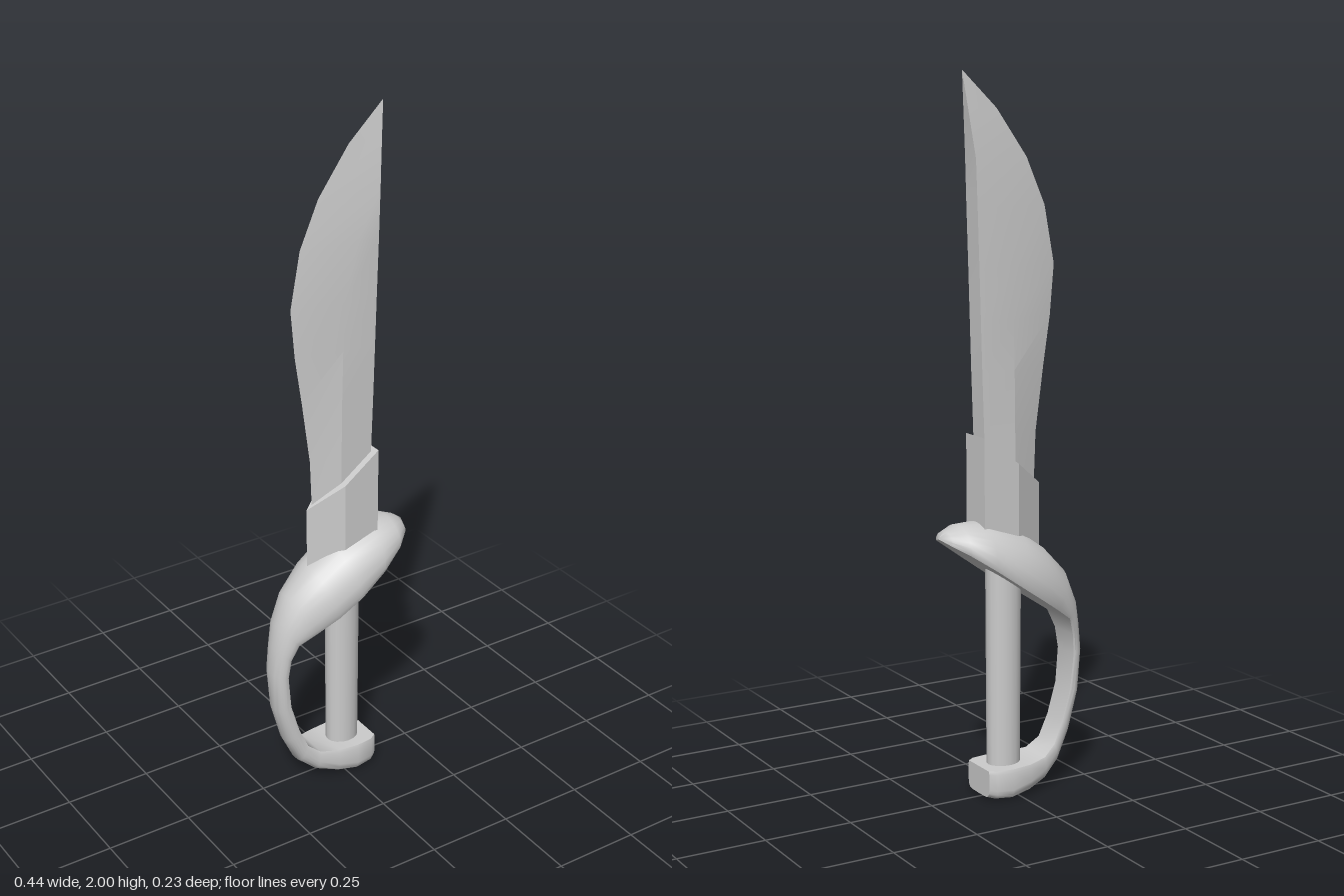
import * as THREE from 'three';
import { toCreasedNormals } from 'three/addons/utils/BufferGeometryUtils.js';

const material = new THREE.MeshStandardMaterial({ color: 0xcccccc });

// Skin a row of matching rings and cap both ends; rings run counterclockwise about the path
function loft(rings, crease) {
  const pos = [];
  const tri = (a, b, c) => {
    const t = new THREE.Triangle(a, b, c);
    if (t.getArea() > 1e-8) pos.push(...a.toArray(), ...b.toArray(), ...c.toArray());
  };
  const n = rings[0].length;
  for (let i = 0; i < rings.length - 1; i++) {
    const a = rings[i], b = rings[i + 1];
    for (let j = 0; j < n; j++) {
      const k = (j + 1) % n;
      tri(a[j], a[k], b[k]);
      tri(a[j], b[k], b[j]);
    }
  }
  const first = rings[0], last = rings[rings.length - 1];
  for (let j = 1; j < n - 1; j++) {
    tri(first[0], first[j + 1], first[j]);
    tri(last[0], last[j], last[j + 1]);
  }
  const geometry = new THREE.BufferGeometry();
  geometry.setAttribute('position', new THREE.Float32BufferAttribute(pos, 3));
  return toCreasedNormals(geometry, crease);
}

// Wedge section: sharp edge on -x, flat spine on +x; each corner has its own height
function wedge(edge, ridge, spine, h, yEdge, yRidge = yEdge, ySpine = yEdge) {
  const v = (x, y, z) => new THREE.Vector3(x, y, z);
  return [v(edge, yEdge, 0), v(ridge, yRidge, h), v(spine, ySpine, h),
    v(spine, ySpine, -h), v(ridge, yRidge, -h)];
}

// Half-dome section from an inner flat to an outer crest; power below 1 makes it boxier
function shellRing([ix, iy, ox, oy, w, power]) {
  const ring = [];
  const add = (side, t) => ring.push(new THREE.Vector3(ix + (ox - ix) * t, iy + (oy - iy) * t, w * side));
  const steps = 14;
  add(0.95, 0);
  for (let i = 0; i <= steps; i++) {
    const a = Math.PI * i / steps;
    const c = i === steps / 2 ? 0 : Math.cos(a);
    const s = i % steps === 0 ? 0 : Math.sin(a);
    add(Math.sign(c) * Math.abs(c) ** power, 0.12 + 0.88 * s ** power);
  }
  add(-0.95, 0);
  return ring;
}

export function createModel() {
  const group = new THREE.Group();
  const add = (name, geometry) => {
    const mesh = new THREE.Mesh(geometry, material);
    mesh.name = name;
    group.add(mesh);
    return mesh;
  };

  // Blade: height, cutting edge x, ridge x, spine x, half thickness
  const blade = [
    [0.80, -0.075, 0.000, 0.090, 0.030],
    [1.02, -0.083, 0.000, 0.097, 0.030],
    [1.20, -0.107, 0.002, 0.103, 0.030],
    [1.34, -0.128, 0.005, 0.107, 0.030],
    [1.48, -0.140, 0.010, 0.111, 0.030],
    [1.64, -0.110, 0.050, 0.116, 0.030],
    [1.77, -0.053, 0.120, 0.120, 0.029],
    [1.90, 0.040, 0.134, 0.134, 0.0126],
    [2.00, 0.145, 0.145, 0.145, 0],
  ];
  add('blade', loft(blade.map(([y, e, r, s, h]) => wedge(e, r, s, h, y)), 0.25));

  // Collar with a slanted top, seated in the guard
  add('bladeCollar', loft([
    wedge(-0.095, 0, 0.108, 0.05, 0.67, 0.70, 0.74),
    wedge(-0.095, 0, 0.108, 0.05, 0.875, 0.945, 1.025),
  ], 0.2));

  // Guard, knuckle bow and pommel in one sweep:
  // inner x, inner y, outer x, outer y, half width, section power
  const guard = [
    [0.222, 0.750, 0.220, 0.757, 0.003, 1],
    [0.207, 0.738, 0.202, 0.770, 0.047, 1],
    [0.165, 0.712, 0.165, 0.785, 0.083, 1],
    [0.100, 0.668, 0.095, 0.788, 0.107, 1],
    [0.020, 0.612, -0.020, 0.750, 0.115, 1],
    [-0.050, 0.565, -0.095, 0.698, 0.106, 1],
    [-0.110, 0.525, -0.165, 0.625, 0.085, 1],
    [-0.160, 0.490, -0.200, 0.540, 0.064, 1],
    [-0.178, 0.440, -0.214, 0.470, 0.050, 1],
    [-0.185, 0.380, -0.222, 0.390, 0.044, 0.9],
    [-0.176, 0.280, -0.213, 0.265, 0.042, 0.9],
    [-0.150, 0.190, -0.182, 0.150, 0.042, 0.9],
    [-0.122, 0.125, -0.142, 0.068, 0.045, 0.8],
    [-0.085, 0.096, -0.092, 0.025, 0.055, 0.6],
    [-0.030, 0.089, -0.030, 0.008, 0.071, 0.4],
    [0.030, 0.088, 0.030, 0.000, 0.078, 0.3],
    [0.080, 0.088, 0.080, 0.004, 0.072, 0.3],
    [0.100, 0.088, 0.100, 0.009, 0.058, 0.3],
  ];
  add('guardAndKnuckleBow', loft(guard.map(shellRing), 0.65));

  // Oval grip running up into the guard
  const grip = add('grip', new THREE.CylinderGeometry(0.052, 0.049, 0.59, 16));
  grip.scale.z = 0.82;
  grip.position.set(0.021, 0.375, 0);

  return group;
}
